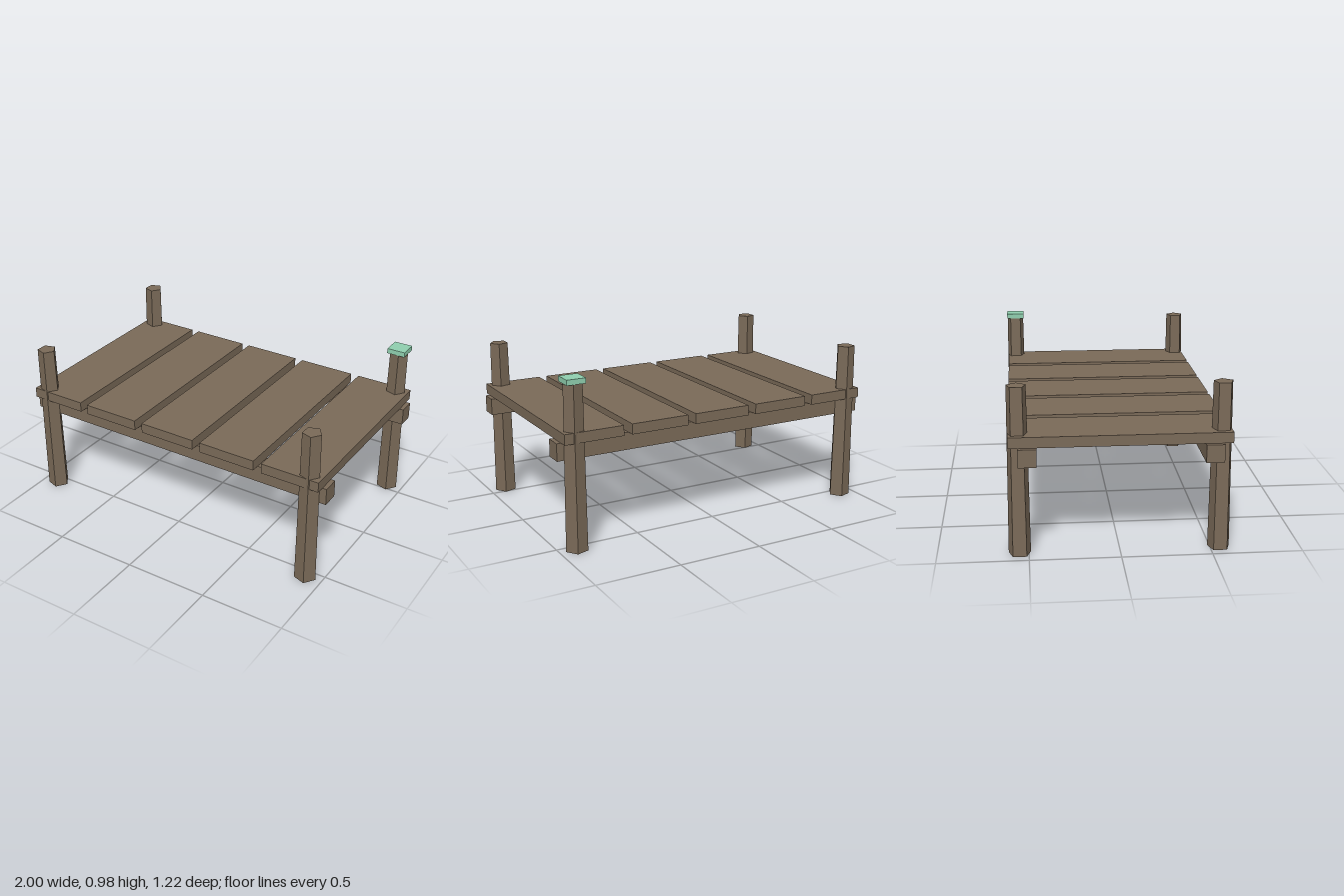
import * as THREE from 'three';

export function createModel() {
  const group = new THREE.Group();
  const wood = new THREE.MeshStandardMaterial({ name: 'weathered wood', color: 0x7a6a58, flatShading: true });
  const mint = new THREE.MeshStandardMaterial({ name: 'mint green', color: 0x8fcfae, flatShading: true });

  const add = (name, geometry, material, x, y, z) => {
    const mesh = new THREE.Mesh(geometry, material);
    mesh.name = name;
    mesh.position.set(x, y, z);
    group.add(mesh);
  };

  // Deck planks laid side by side
  const plank = new THREE.BoxGeometry(0.35, 0.06, 1.2);
  for (let i = -2; i <= 2; i++) add('plank', plank, wood, i * 0.4, 0.657, 0);

  // Long beams under the planks, and tapered five-sided posts at the corners
  const beam = new THREE.BoxGeometry(2, 0.1, 0.1);
  const post = new THREE.CylinderGeometry(0.055, 0.064, 0.95, 5, 1, false, Math.PI / 2);
  for (const side of [-1, 1]) {
    add(side > 0 ? 'frontBeam' : 'backBeam', beam, wood, 0, 0.577, side * 0.5);
    for (const end of [-1, 1]) {
      add((side > 0 ? 'front' : 'back') + (end > 0 ? 'Left' : 'Right') + 'Post', post, wood, end * 0.9, 0.475, side * 0.55);
    }
  }

  // Painted cap on one back post
  add('postCap', new THREE.BoxGeometry(0.11, 0.03, 0.11), mint, 0.9, 0.965, -0.55);

  return group;
}
